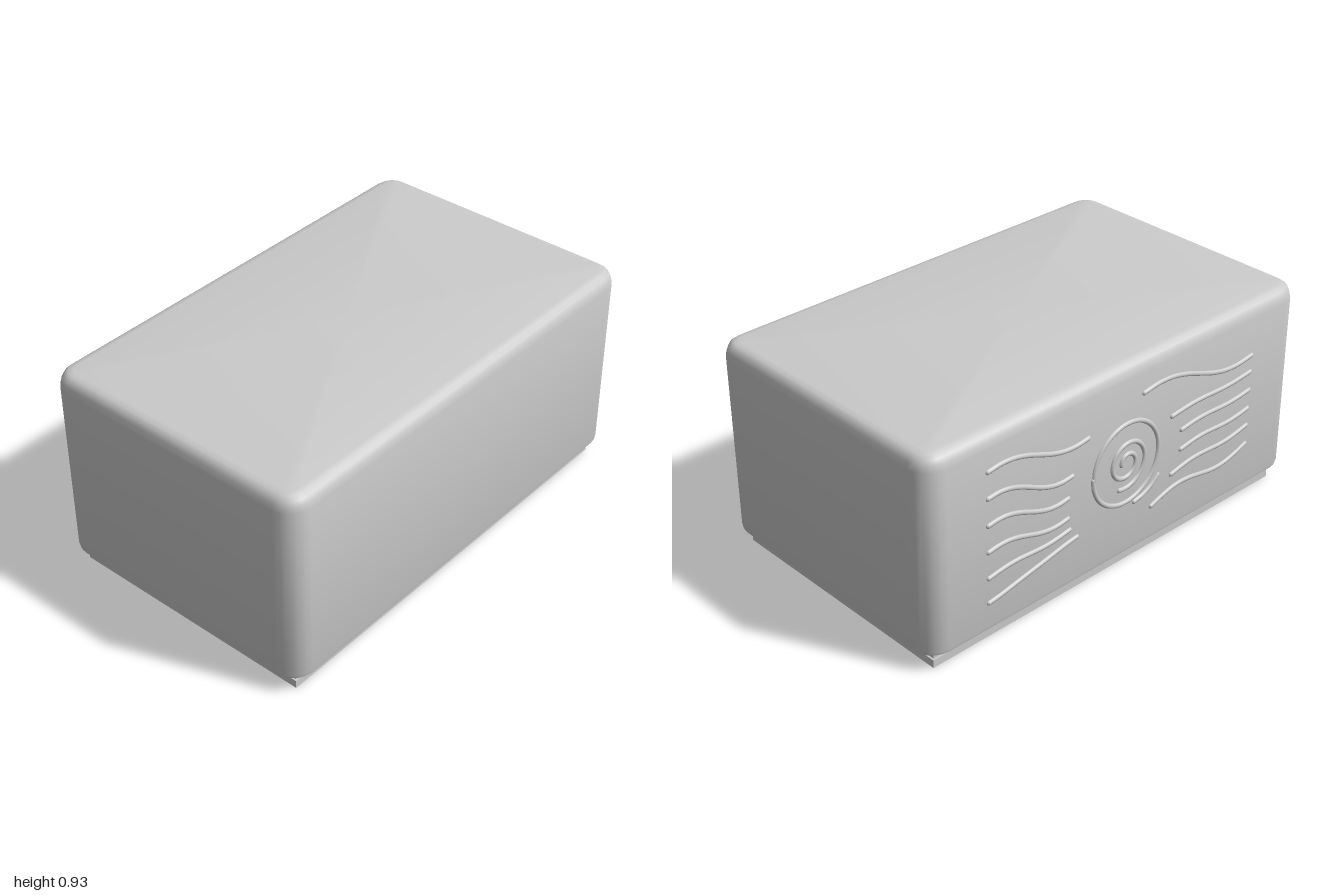
import * as THREE from 'three';
import { toCreasedNormals } from 'three/addons/utils/BufferGeometryUtils.js';

const BACK = -0.606;

// Rounded-rectangle outline in plan, counter-clockwise seen from above
function planLoop(hx, hz, r, seg = 5) {
  const pts = [];
  const corners = [[1, 1], [1, -1], [-1, -1], [-1, 1]];
  corners.forEach(([sx, sz], i) => {
    for (let k = 0; k <= seg; k++) {
      const a = Math.PI / 2 - (i + k / seg) * Math.PI / 2; // x = sin side, z = cos side
      const cx = sx * (hx - r), cz = sz * (hz - r);
      pts.push([cx + r * Math.cos(a - 0), cz + r * Math.sin(a)]);
    }
  });
  return pts;
}

// Skin stacked outlines [inset, y] and close both ends
function loft(levels, hx, hz, r) {
  const pos = [], idx = [];
  let n = 0;
  for (const [inset, y] of levels) {
    const loop = planLoop(hx - inset, hz - inset, Math.max(r - inset, 0.03));
    n = loop.length;
    loop.forEach(([x, z]) => pos.push(x, y, z));
  }
  for (let l = 0; l < levels.length - 1; l++) {
    for (let i = 0; i < n; i++) {
      const j = (i + 1) % n, a = l * n + i, b = l * n + j;
      idx.push(a, b, b + n, a, b + n, a + n);
    }
  }
  const bottom = pos.length / 3, top = bottom + 1, last = (levels.length - 1) * n;
  pos.push(0, levels[0][1], 0, 0, levels[levels.length - 1][1], 0);
  for (let i = 0; i < n; i++) {
    const j = (i + 1) % n;
    idx.push(bottom, j, i, top, last + i, last + j);
  }
  const g = new THREE.BufferGeometry();
  g.setAttribute('position', new THREE.Float32BufferAttribute(pos, 3));
  g.setIndex(idx);
  return toCreasedNormals(g, 0.7);
}

// Rectangular frame standing between two heights
function frame(hx, hz, wall, y0, y1) {
  const rect = (S, x, z) => new S([
    new THREE.Vector2(-x, -z), new THREE.Vector2(x, -z),
    new THREE.Vector2(x, z), new THREE.Vector2(-x, z),
  ]);
  const s = rect(THREE.Shape, hx, hz);
  s.holes.push(rect(THREE.Path, hx - wall, hz - wall));
  const g = new THREE.ExtrudeGeometry(s, { depth: y1 - y0, bevelEnabled: false });
  return g.rotateX(-Math.PI / 2).translate(0, y0, 0);
}

export function createModel() {
  const group = new THREE.Group();
  const mat = new THREE.MeshStandardMaterial({ color: 0xcccccc });
  const add = (name, geo, parent = group) => {
    const m = new THREE.Mesh(geo, mat);
    m.name = name;
    parent.add(m);
    return m;
  };

  // Main housing with rounded corners and softened top edge
  add('housing', loft([
    [0.016, 0.078], [0.004, 0.083], [0, 0.098], [0, 0.865], [0.006, 0.89],
    [0.016, 0.91], [0.032, 0.922], [0.055, 0.926],
  ], 0.995, 0.608, 0.095));

  // Stepped open rim under the housing
  add('baseRimUpper', frame(0.932, 0.55, 0.02, 0.033, 0.08));
  add('baseRimLower', frame(0.94, 0.557, 0.02, 0, 0.035));

  // Raised ornament on the back
  const relief = new THREE.Group();
  relief.name = 'backRelief';
  group.add(relief);
  const bead = (name, pts) => {
    const curve = new THREE.CatmullRomCurve3(pts.map(([x, y]) => new THREE.Vector3(x, y, BACK)));
    const r = 0.011;
    add(name, new THREE.TubeGeometry(curve, pts.length * 5, r, 8), relief);
    for (const p of [curve.getPoint(0), curve.getPoint(1)]) {
      add(name + 'End', new THREE.SphereGeometry(r, 8, 6).translate(p.x, p.y, p.z), relief);
    }
  };

  // Wavy ribs: [outer y, inner x, inner y, sag]
  const waves = (name, outerX, rows) => rows.forEach(([y0, x1, y1, sag]) => {
    const pts = [];
    for (let i = 0; i <= 8; i++) {
      const t = i / 8;
      const ease = t * t * (3 - 2 * t);
      pts.push([outerX + (x1 - outerX) * t, y0 + (y1 - y0) * ease + sag * Math.sin(2 * Math.PI * t)]);
    }
    bead(name, pts);
  });
  waves('leftRib', 0.71, [
    [0.772, 0.21, 0.70, 0.015], [0.66, 0.29, 0.57, 0.012], [0.545, 0.31, 0.48, 0.012],
    [0.43, 0.31, 0.39, 0.012], [0.315, 0.3, 0.335, 0.01], [0.205, 0.26, 0.285, 0.006],
  ]);
  waves('rightRib', -0.71, [
    [0.70, -0.085, 0.775, -0.02], [0.625, -0.25, 0.605, -0.008], [0.54, -0.31, 0.52, -0.008],
    [0.455, -0.31, 0.43, -0.01], [0.375, -0.26, 0.335, -0.014], [0.287, -0.15, 0.235, -0.03],
  ]);

  // Central swirl, its surrounding ring and a short outer arc
  const swirl = (name, r0, r1, a0, a1) => {
    const pts = [], n = Math.ceil(Math.abs(a1 - a0) * 4);
    for (let i = 0; i <= n; i++) {
      const t = i / n, r = r0 + (r1 - r0) * t, a = a0 + (a1 - a0) * t;
      pts.push([r * Math.cos(a), 0.5 + r * Math.sin(a)]);
    }
    bead(name, pts);
  };
  swirl('innerSwirl', 0.025, 0.115, 0, Math.PI * 3.6);
  swirl('outerRing', 0.175, 0.18, 0, Math.PI * 2);
  swirl('outerArc', 0.205, 0.225, Math.PI * 1.42, Math.PI * 1.2);
  return group;
}
